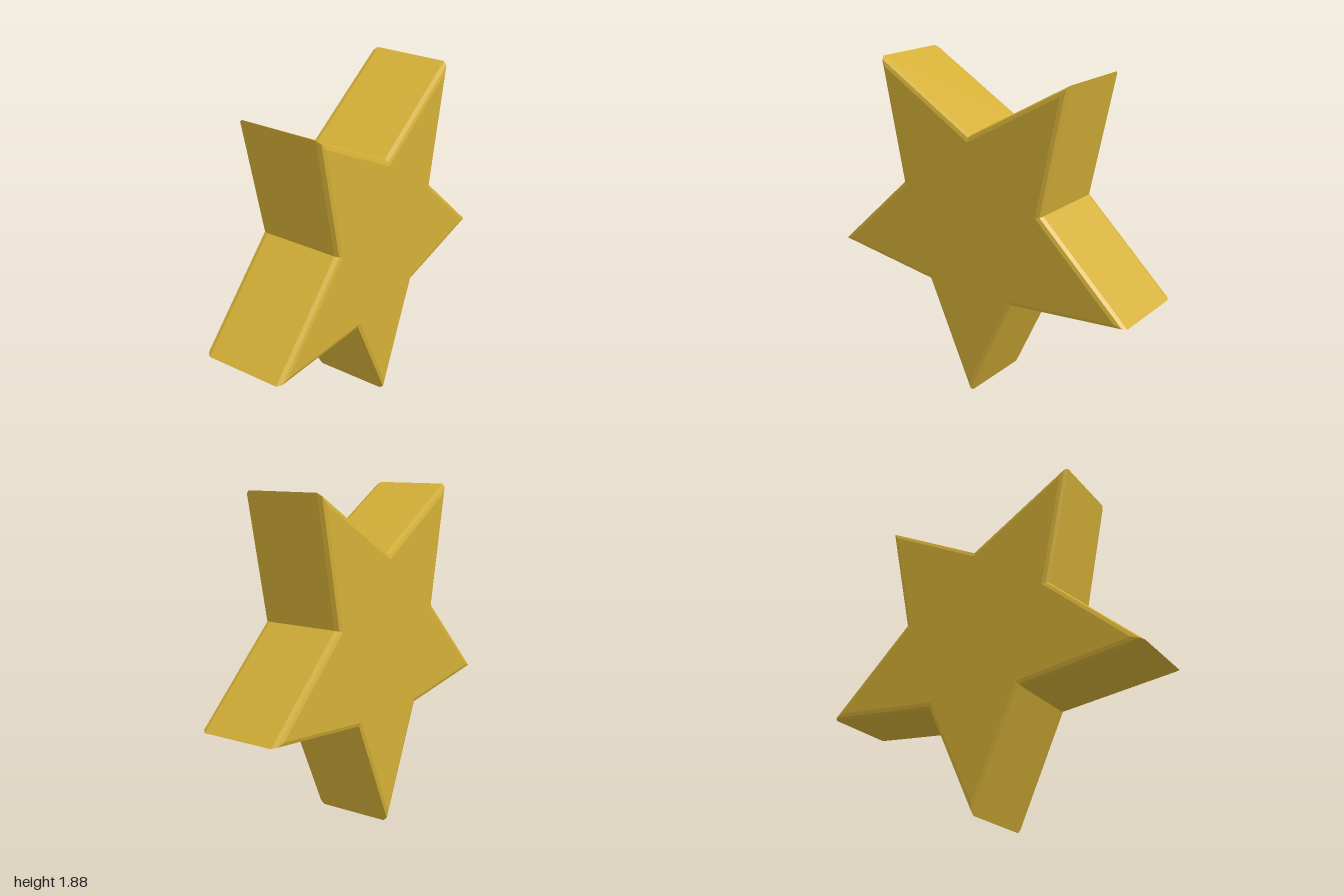
import * as THREE from 'three';

const OUTER = 1.039, INNER = 0.496;

// One star outline, pointing down, inset evenly from the full outline
function starRing(inset, z) {
  const ring = [];
  for (let i = 0; i < 10; i++) {
    const a = -Math.PI / 2 + (i * Math.PI) / 5;
    // sharp tips retreat further than the notches for the same edge inset
    const r = i % 2 ? INNER - inset * 1.15 : OUTER - inset * 2.41;
    ring.push([r * Math.cos(a), OUTER + r * Math.sin(a), z]);
  }
  return ring;
}

function starGeometry() {
  // [inset, half thickness] of the rounded rim, from face to side
  const rim = [[0.028, 0.24], [0.008, 0.233], [0, 0.21]];
  const rings = [
    ...rim.map(([d, z]) => starRing(d, -z)),
    ...rim.slice().reverse().map(([d, z]) => starRing(d, z)),
  ];
  const pos = [];
  const tri = (a, b, c) => pos.push(...a, ...b, ...c);
  const last = rings.length - 1;
  for (let i = 0; i < 10; i++) {
    const j = (i + 1) % 10;
    // walls and bevels
    for (let k = 0; k < last; k++) {
      tri(rings[k][i], rings[k][j], rings[k + 1][j]);
      tri(rings[k][i], rings[k + 1][j], rings[k + 1][i]);
    }
    // flat back and front faces
    tri([0, OUTER, -0.24], rings[0][j], rings[0][i]);
    tri([0, OUTER, 0.24], rings[last][i], rings[last][j]);
  }
  const geo = new THREE.BufferGeometry();
  geo.setAttribute('position', new THREE.Float32BufferAttribute(pos, 3));
  geo.computeVertexNormals();
  return geo;
}

export function createModel() {
  const gold = new THREE.MeshStandardMaterial({ color: 0xd4af37 });
  gold.name = 'gold';
  const star = new THREE.Mesh(starGeometry(), gold);
  star.name = 'star';
  star.rotation.y = THREE.MathUtils.degToRad(20);
  const group = new THREE.Group();
  group.name = 'goldStar';
  group.add(star);
  return group;
}
